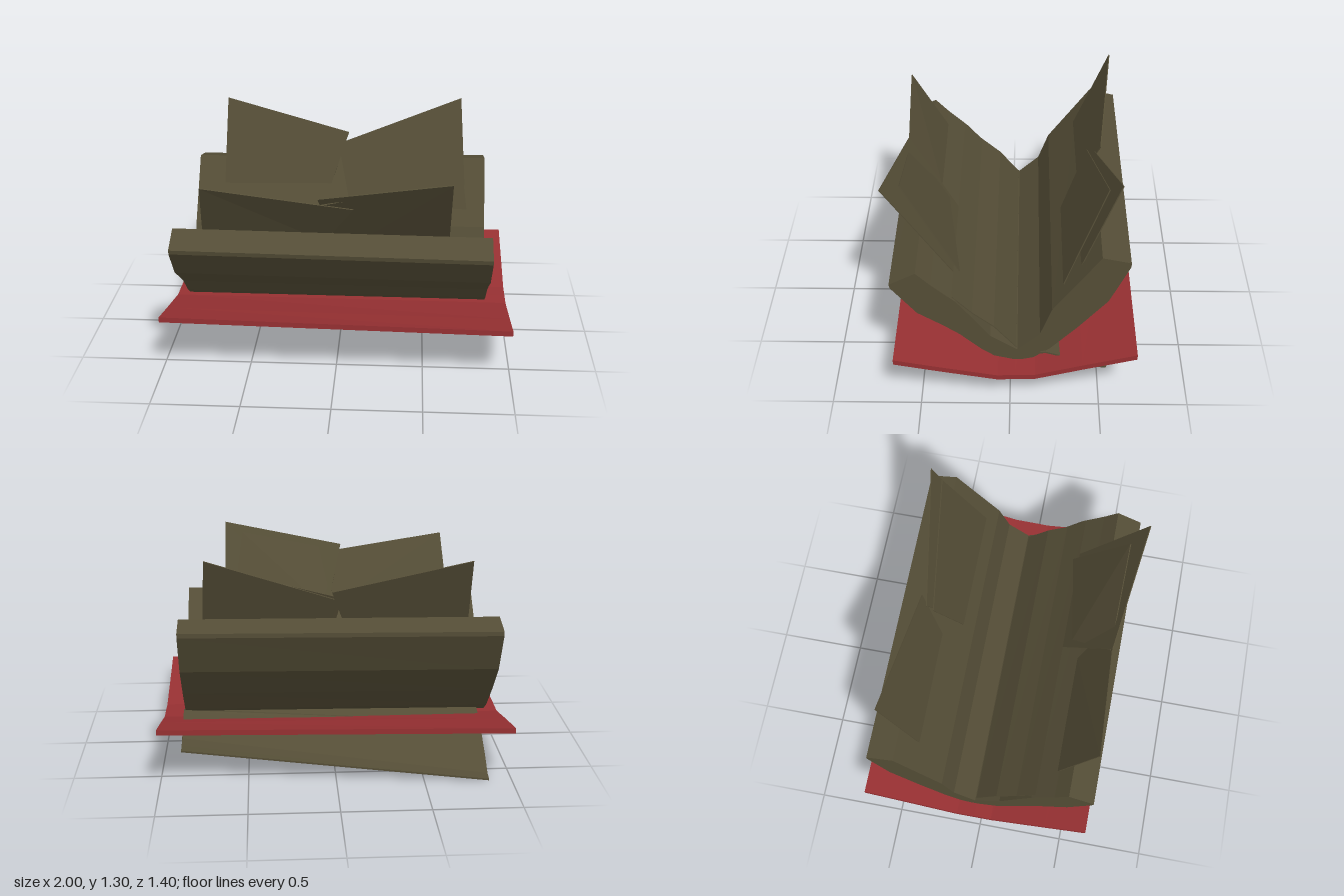
import * as THREE from 'three';

const V = (x, y, z) => new THREE.Vector3(x, y, z);

const paper = new THREE.MeshStandardMaterial({ color: 0x544d36 });
paper.name = 'agedPaper';
const red = new THREE.MeshStandardMaterial({ color: 0x963032 });
red.name = 'redCover';

// Flat-faced solid joining two loops; loop a is counter-clockwise from outside
function prism(name, a, b, caps, material) {
  const out = [];
  const tri = (...ps) => ps.forEach((p) => out.push(p.x, p.y, p.z));
  for (const [i, j, k] of caps) {
    tri(a[i], a[j], a[k]);
    tri(b[k], b[j], b[i]);
  }
  a.forEach((p, i) => {
    const j = (i + 1) % a.length;
    tri(a[j], p, b[i]);
    tri(a[j], b[i], b[j]);
  });
  const g = new THREE.BufferGeometry();
  g.setAttribute('position', new THREE.Float32BufferAttribute(out, 3));
  g.computeVertexNormals();
  const mesh = new THREE.Mesh(g, material);
  mesh.name = name;
  return mesh;
}

// Solid running along x between two closed [z, y] profiles, slightly warped
function loft(name, left, right, x0, x1, material, warp = 0.02) {
  let p = left.map(([z, y]) => new THREE.Vector2(z, y));
  let q = right.map(([z, y]) => new THREE.Vector2(z, y));
  if (THREE.ShapeUtils.isClockWise(p)) {
    p.reverse();
    q.reverse();
  }
  const place = (pts, x) => pts.map((v) => V(x, v.y - warp * x * v.x, v.x));
  const caps = THREE.ShapeUtils.triangulateShape(p, []);
  return prism(name, place(p, x0), place(q, x1), caps, material);
}

// Closed profile of thickness t hanging below an open one
const thicken = (pts, t) => [...pts, ...pts.map(([z, y]) => [z, y - t]).reverse()];

// Thin loose page from four corners
function page(name, corners, t = 0.006) {
  const a = corners.map((c) => V(...c));
  const n = a[2].clone().sub(a[0]).cross(a[3].clone().sub(a[1])).normalize();
  const b = a.map((v) => v.clone().addScaledVector(n, -t));
  return prism(name, a, b, [[0, 1, 2], [0, 2, 3]], paper);
}

export function createModel() {
  const book = new THREE.Group();
  book.name = 'openBook';

  // Hard cover, bent at the spine
  const cover = thicken([[0.645, 0.34], [0.4, 0.287], [0.07, 0.22], [-0.03, 0.222],
    [-0.14, 0.222], [-0.4, 0.288], [-0.70, 0.36]], 0.031);
  book.add(loft('cover', cover, cover, -1, 1, red, 0.024));

  // Thick page block, both halves raised in a V
  const block = [
    [0.51, 0.84], [0.43, 0.76], [0.30, 0.645], [0.21, 0.53], [0.11, 0.395], [-0.04, 0.295],
    [-0.165, 0.41], [-0.23, 0.585], [-0.41, 0.83], [-0.49, 0.94],
    [-0.645, 0.905], [-0.645, 0.88], [-0.535, 0.645], [-0.37, 0.455], [-0.22, 0.30],
    [-0.13, 0.235], [-0.04, 0.215], [0.09, 0.25], [0.16, 0.30], [0.28, 0.41],
    [0.37, 0.475], [0.51, 0.565], [0.65, 0.74], [0.655, 0.765],
  ];
  book.add(loft('pageBlock', block, block, -0.92, 0.87, paper, 0.017));

  // Top leaf lifting from the front half
  const leaf = thicken([[0.32, 0.67], [0.21, 0.555], [0.09, 0.455], [-0.035, 0.303]], 0.008);
  book.add(loft('liftedLeaf', leaf, leaf, -0.905, 0.855, paper));

  // Fallen sheet slipping out under the back of the cover
  const sheetLeft = thicken([[-0.14, 0.26], [-0.29, 0.215], [-0.37, 0.17], [-0.51, 0.09], [-0.6, 0.025], [-0.655, 0.014]], 0.01);
  const sheetRight = thicken([[-0.17, 0.285], [-0.2, 0.288], [-0.29, 0.26], [-0.41, 0.2], [-0.48, 0.187], [-0.54, 0.18]], 0.01);
  book.add(loft('fallenSheet', sheetLeft, sheetRight, -0.87, 0.88, paper, 0));

  // Loose pages standing up from both halves
  const loose = {
    backRightSidePage: [[-0.745, 1.285, -0.59], [-0.755, 0.72, -0.355], [-0.11, 0.72, -0.355], [0.02, 1.097, -0.51]],
    backOuterPage: [[0.715, 1.305, -0.59], [-0.02, 1.04, -0.48], [0.09, 0.72, -0.35], [0.75, 0.75, -0.365]],
    backInnerPage: [[0.68, 1.255, -0.522], [-0.04, 1.04, -0.435], [0.04, 0.68, -0.29], [0.76, 0.68, -0.29]],
    frontRightSidePage: [[-0.735, 1.14, 0.635], [0.1, 1.02, 0.595], [-0.07, 0.755, 0.42], [-0.765, 0.755, 0.42]],
    frontOuterPage: [[0.635, 1.212, 0.7], [0.635, 0.65, 0.31], [0.02, 0.65, 0.31], [-0.095, 1.08, 0.605]],
    frontInnerPage: [[0.525, 1.165, 0.605], [0.605, 0.64, 0.285], [0.04, 0.75, 0.37], [-0.09, 1.04, 0.595]],
  };
  for (const [name, corners] of Object.entries(loose)) book.add(page(name, corners));

  return book;
}
